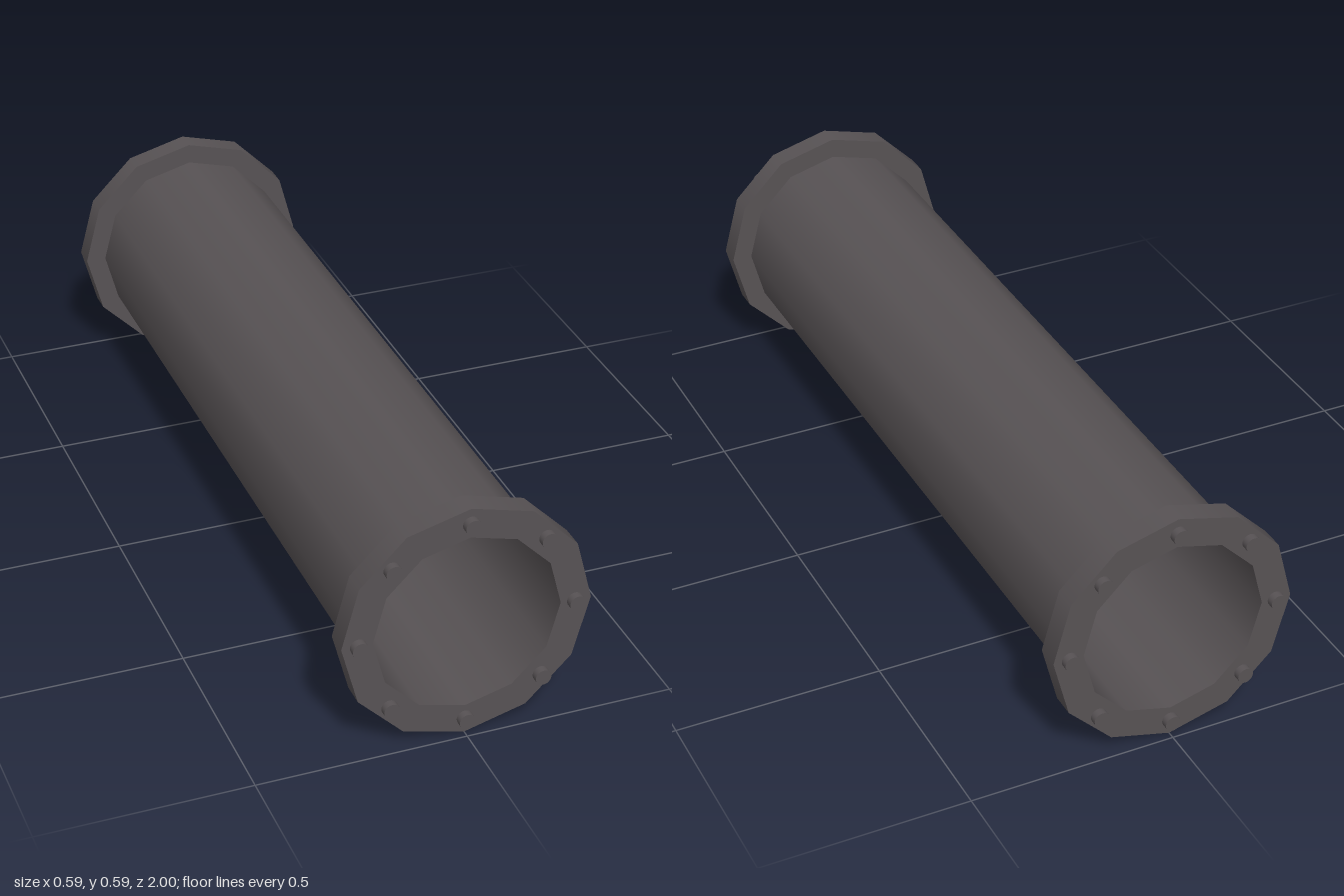
import * as THREE from 'three';
import { mergeGeometries } from 'three/addons/utils/BufferGeometryUtils.js';

const SIDES = 12;
const RADIUS = 0.295;      // flange outer radius
const BORE = 0.222;        // inner radius
const FLANGE_IN = 0.925, FLANGE_OUT = 0.982;

// Turn a profile around z; each segment keeps its own normals so the rims stay sharp
function turned(profile) {
  const bands = [];
  for (let i = 0; i < profile.length - 1; i++) {
    const ends = [profile[i], profile[i + 1]].map(([r, z]) => new THREE.Vector2(r, z));
    bands.push(new THREE.LatheGeometry(ends, SIDES));
  }
  return mergeGeometries(bands).rotateX(Math.PI / 2);
}

export function createModel() {
  const model = new THREE.Group();
  model.name = 'flangedPipe';
  const iron = new THREE.MeshStandardMaterial({ color: 0x575254 });
  iron.name = 'darkIron';

  const add = (parent, name, geometry) => {
    const mesh = new THREE.Mesh(geometry, iron);
    mesh.name = name;
    parent.add(mesh);
    return mesh;
  };

  const pipe = new THREE.Group();
  pipe.name = 'pipe';
  pipe.position.y = RADIUS;
  model.add(pipe);

  // Pipe wall: outside between the flanges, bore through the full length
  add(pipe, 'pipeOuterWall', turned([[0.244, -FLANGE_IN], [0.244, FLANGE_IN]]));
  add(pipe, 'pipeBore', turned([[BORE, FLANGE_OUT], [BORE, -FLANGE_OUT]]));

  // Flange ring with eight bolt heads, one at each end
  const ringGeometry = turned([
    [BORE, FLANGE_IN], [RADIUS, FLANGE_IN], [RADIUS, FLANGE_OUT], [BORE, FLANGE_OUT],
  ]);
  const boltGeometry = new THREE.CylinderGeometry(0.019, 0.019, 0.03, 24).rotateX(Math.PI / 2);

  for (const end of ['front', 'back']) {
    const flange = new THREE.Group();
    flange.name = end + 'Flange';
    if (end === 'back') flange.rotation.y = Math.PI;
    add(flange, end + 'Ring', ringGeometry);
    for (let i = 0; i < 8; i++) {
      const a = (i * Math.PI) / 4;
      add(flange, end + 'Bolt' + (i + 1), boltGeometry)
        .position.set(0.256 * Math.cos(a), 0.256 * Math.sin(a), 0.985);
    }
    pipe.add(flange);
  }
  return model;
}
